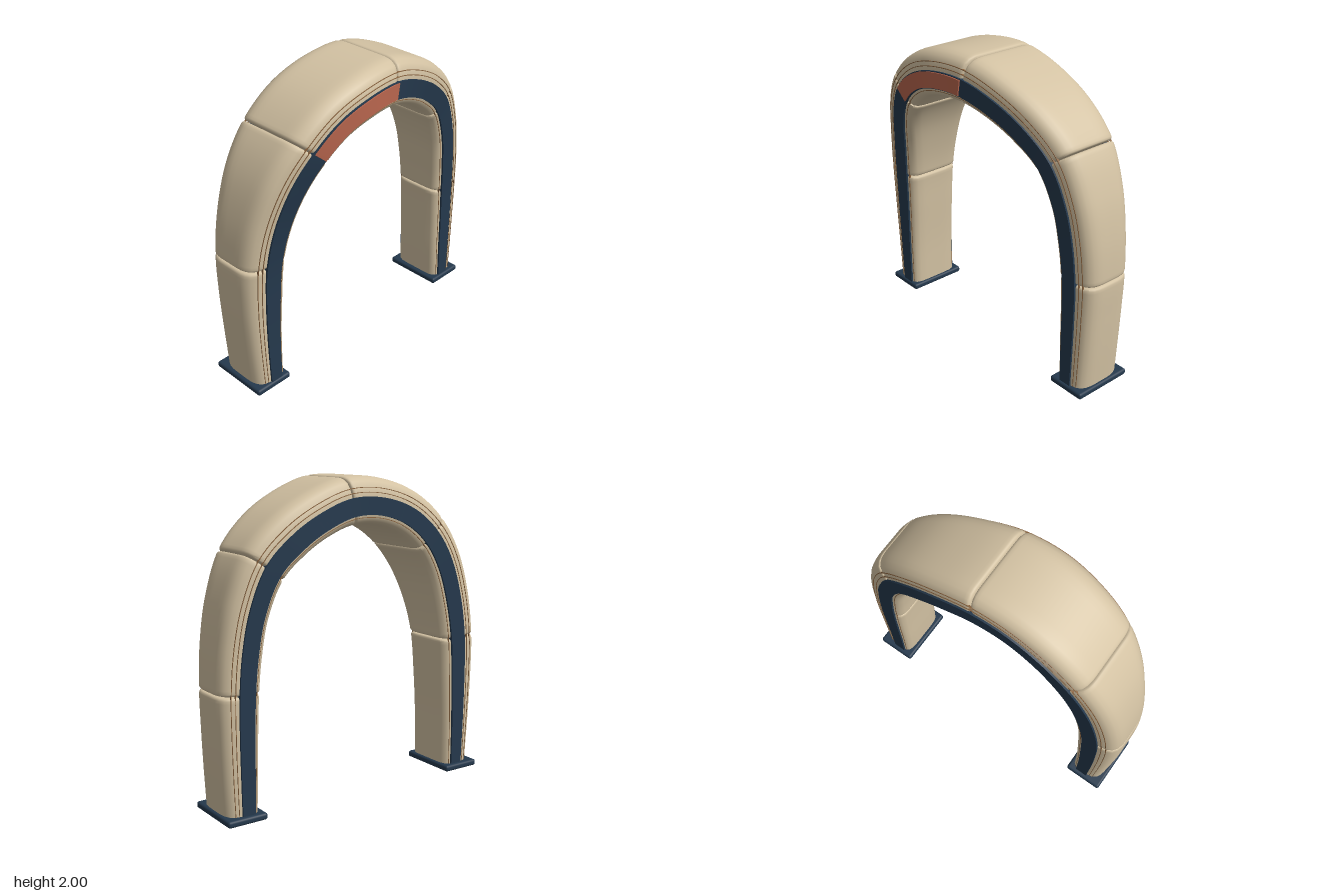
import * as THREE from 'three';
import { toCreasedNormals } from 'three/addons/utils/BufferGeometryUtils.js';
import { RoundedBoxGeometry } from 'three/addons/geometries/RoundedBoxGeometry.js';

const mat = (color) => new THREE.MeshStandardMaterial({ color });
const fabric = mat(0xd3c2a3), navy = mat(0x25394d), coral = mat(0xb9664e), brown = mat(0x8a6440);

// Stations along the arch, from the -x foot over the crown to the +x foot
const outerPts = [
  [-.94, .03], [-.963, .34], [-.98, .63], [-.98, .92], [-.935, 1.22], [-.84, 1.5], [-.69, 1.72],
  [-.47, 1.89], [-.2, 1.98], [.09, 1.99], [.36, 1.905], [.6, 1.77], [.79, 1.58], [.9, 1.32],
  [.955, 1.05], [.975, .77], [.97, .52], [.96, .28], [.945, .03]];
const innerPts = [
  [-.72, .03], [-.715, .34], [-.7, .63], [-.68, .91], [-.635, 1.14], [-.565, 1.35], [-.46, 1.52],
  [-.32, 1.635], [-.15, 1.695], [.04, 1.7], [.22, 1.645], [.39, 1.55], [.55, 1.41], [.645, 1.2],
  [.685, .98], [.705, .765], [.715, .52], [.72, .28], [.73, .03]];
// Front and back depth at each station
const depths = [
  [.095, -.285], [.098, -.285], [.105, -.286], [.12, -.288], [.155, -.29], [.21, -.293], [.262, -.295],
  [.29, -.293], [.305, -.292], [.285, -.302], [.245, -.315], [.2, -.32], [.155, -.315], [.125, -.305],
  [.105, -.295], [.092, -.29], [.09, -.287], [.09, -.285], [.09, -.285]];
const LAST = outerPts.length - 1;
const spline = (pts) => new THREE.CatmullRomCurve3(
  pts.map(([x, y]) => new THREE.Vector3(x, y, 0)), false, 'catmullrom', 0.5);
const outer = spline(outerPts), inner = spline(innerPts), depth = spline(depths);

// Cross-section: [0 inner .. 1 outer, inset from the front or back plane]
const shell = [[0, .16], [0, .11], [.012, .06], [.06, .03], [.16, .013], [.4, .01], [.62, .012],
  [.78, .02], [.89, .038], [.96, .068], [.99, .1], [1, .13], [1, .17]];
function insetAt(a) {
  const i = shell.findIndex((p) => p[0] > a);
  const [p, q] = [shell[i - 1], shell[i]];
  return p[1] + (q[1] - p[1]) * (a - p[0]) / (q[0] - p[0]);
}

// Sweep a closed section along the arch; rows = [station, shrink]
function sweep(rows, section) {
  const pos = [], idx = [];
  let n = 0;
  for (const [u, shrink] of rows) {
    const t = u / LAST;
    const o = outer.getPoint(t), i = inner.getPoint(t), { x: zf, y: zb } = depth.getPoint(t);
    const w = o.distanceTo(i), mid = (zf + zb) / 2;
    const loop = section(zf, zb);
    n = loop.length;
    for (const [a, z] of loop) {
      const p = i.clone().lerp(o, .5 + (a - .5) * (1 - 2 * shrink / w));
      pos.push(p.x, p.y, mid + (z - mid) * (1 - 2 * shrink / (zf - zb)));
    }
  }
  for (let r = 0; r < rows.length - 1; r++) {
    for (let j = 0; j < n; j++) {
      const a = r * n + j, b = r * n + (j + 1) % n;
      idx.push(a, a + n, b, b, a + n, b + n);
    }
  }
  // End caps as fans about the section centre
  [0, rows.length - 1].forEach((r, end) => {
    const c = pos.length / 3, sum = [0, 0, 0];
    for (let j = 0; j < n; j++) for (let k = 0; k < 3; k++) sum[k] += pos[(r * n + j) * 3 + k] / n;
    pos.push(...sum);
    for (let j = 0; j < n; j++) {
      const a = r * n + j, b = r * n + (j + 1) % n;
      idx.push(c, end ? b : a, end ? a : b);
    }
  });
  const g = new THREE.BufferGeometry();
  g.setAttribute('position', new THREE.Float32BufferAttribute(pos, 3));
  g.setIndex(idx);
  return toCreasedNormals(g, 0.7);
}

const evenRows = (u0, u1, n) => Array.from({ length: n + 1 }, (_, i) => [u0 + (u1 - u0) * i / n, 0]);

// Thin slab lying on the front (side 1) or back (side -1) face
function slab(u0, u1, a0, a1, side, top, thick) {
  return sweep(evenRows(u0, u1, Math.ceil((u1 - u0) * 6)), (zf, zb) => {
    const hi = side > 0 ? zf - top : zb + top + thick;
    const lo = side > 0 ? hi - thick : zb + top;
    return [[a0, hi], [a1, hi], [a1, lo], [a0, lo]];
  });
}

export function createModel() {
  const model = new THREE.Group();
  const add = (name, geometry, material) => {
    const m = new THREE.Mesh(geometry, material);
    m.name = name;
    model.add(m);
    return m;
  };

  // Six padded panels with rounded ends at the seams
  const section = (zf, zb) => [
    ...shell.map(([a, d]) => [a, zf - d]),
    ...[...shell].reverse().map(([a, d]) => [a, zb + d])];
  const round = [[.012, .018], [.02, .009], [.04, .003], [.08, 0]];
  for (let k = 0; k < 6; k++) {
    const u0 = k * 3, u1 = u0 + 3;
    const rows = [
      ...round.map(([t, s]) => [u0 + t, k === 0 ? 0 : s]),
      ...evenRows(u0 + .15, u1 - .15, 20),
      ...[...round].reverse().map(([t, s]) => [u1 - t, k === 5 ? 0 : s])];
    add('paddedPanel' + (k + 1), sweep(rows, section), fabric);
  }

  // Dark bands and stitched trim on both faces
  for (const side of [1, -1]) {
    const face = side > 0 ? 'front' : 'back';
    add(face + 'Band', slab(0, LAST, .2, .58, side, 0, .035), navy);
    for (const a of [.14, .66, .76]) {
      add(face + 'Trim', slab(0, LAST, a, a + .014, side, insetAt(a) - .003, .012), brown);
    }
  }

  // Coloured inlay left of the crown
  add('inlay', slab(6, 9, .22, .56, 1, -.008, .02), coral);

  // Foot plates
  for (const x of [-.835, .833]) {
    add('footPlate', new RoundedBoxGeometry(.265, .042, .415, 3, .016), navy).position.set(x, .021, -.103);
  }
  return model;
}
